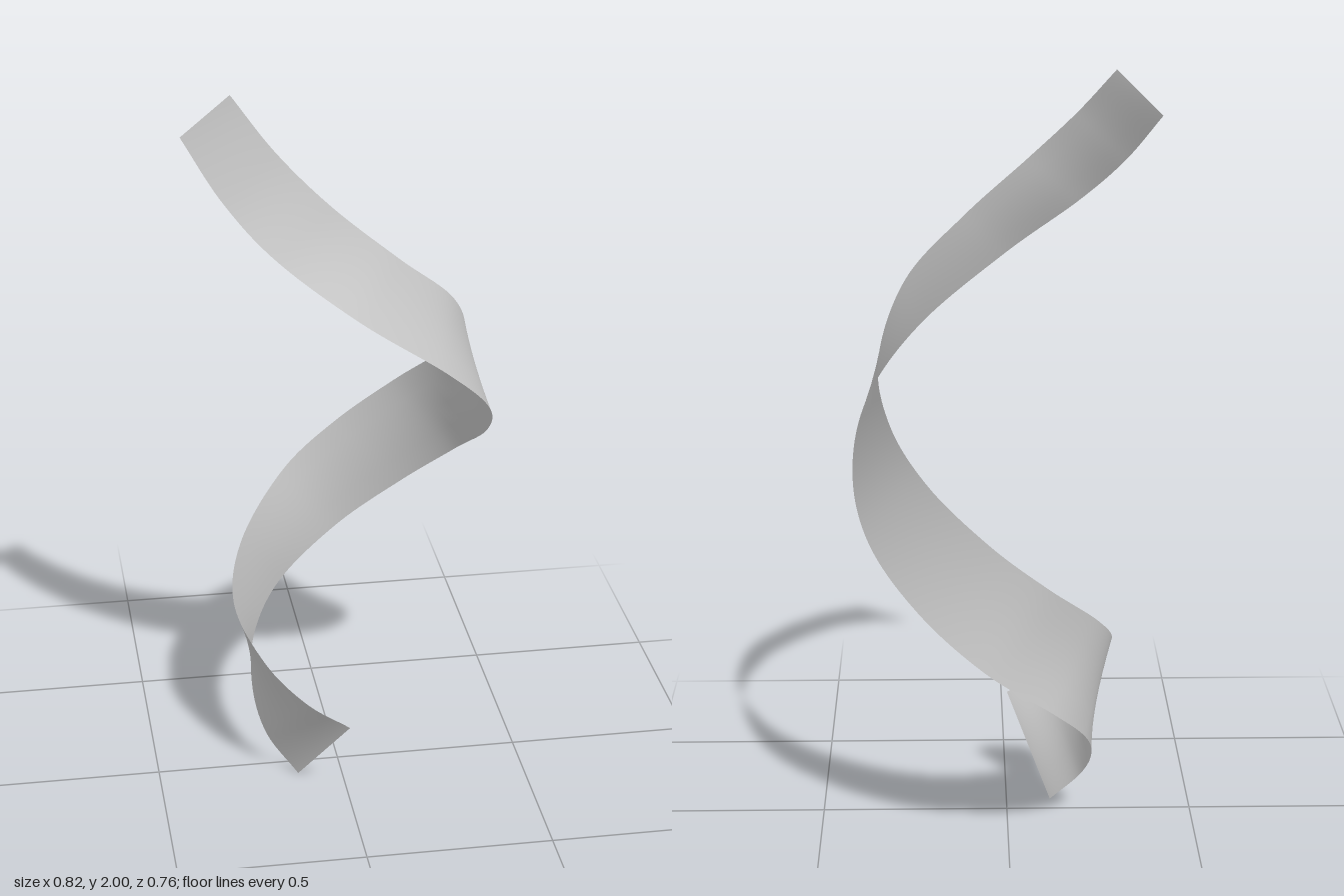
import * as THREE from 'three';

// Smooth curve through a short list of [x, y, z] points
function edgeCurve(points) {
  return new THREE.CatmullRomCurve3(
    points.map((p) => new THREE.Vector3(...p)), false, 'catmullrom', 0.5);
}

// Lower edge of the ribbon, winding upward
const lowerEdge = edgeCurve([
  [-0.12, 0, 0.065], [-0.2, 0.1, 0], [-0.225, 0.2, -0.1], [-0.2, 0.3, -0.22],
  [-0.11, 0.405, -0.325], [0.06, 0.535, -0.383], [0.23, 0.68, -0.335],
  [0.36, 0.83, -0.21], [0.407, 0.97, -0.02], [0.37, 1.125, 0.165],
  [0.23, 1.29, 0.31], [0, 1.47, 0.38], [-0.2, 1.625, 0.33],
  [-0.32, 1.75, 0.24], [-0.41, 1.885, 0.13],
]);

// Upper edge, each point straight across the ribbon from its lower partner
const upperEdge = edgeCurve([
  [-0.005, 0.245, 0.25], [-0.12, 0.315, 0.222], [-0.22, 0.4, 0.13], [-0.28, 0.5, -0.03],
  [-0.235, 0.61, -0.19], [-0.1, 0.745, -0.33], [0.05, 0.87, -0.357],
  [0.205, 1.01, -0.298], [0.305, 1.14, -0.17], [0.335, 1.275, 0],
  [0.265, 1.445, 0.18], [0.11, 1.595, 0.28], [-0.06, 1.745, 0.295],
  [-0.19, 1.875, 0.25], [-0.29, 2, 0.17],
]);

// Ruled strip between two edge curves
function ruledStrip(edgeA, edgeB, along, across) {
  const geometry = new THREE.PlaneGeometry(1, 1, across, along);
  const position = geometry.attributes.position;
  for (let i = 0; i <= along; i++) {
    const a = edgeA.getPoint(i / along);
    const b = edgeB.getPoint(i / along);
    for (let j = 0; j <= across; j++) {
      const p = a.clone().lerp(b, j / across);
      position.setXYZ(i * (across + 1) + j, p.x, p.y, p.z);
    }
  }
  geometry.computeVertexNormals();
  return geometry;
}

export function createModel() {
  const group = new THREE.Group();
  group.name = 'spiralRibbon';

  // Tapering twisted ribbon
  const material = new THREE.MeshStandardMaterial({ color: 0xcccccc, side: THREE.DoubleSide });
  const ribbon = new THREE.Mesh(ruledStrip(lowerEdge, upperEdge, 168, 4), material);
  ribbon.name = 'ribbon';
  group.add(ribbon);

  return group;
}
